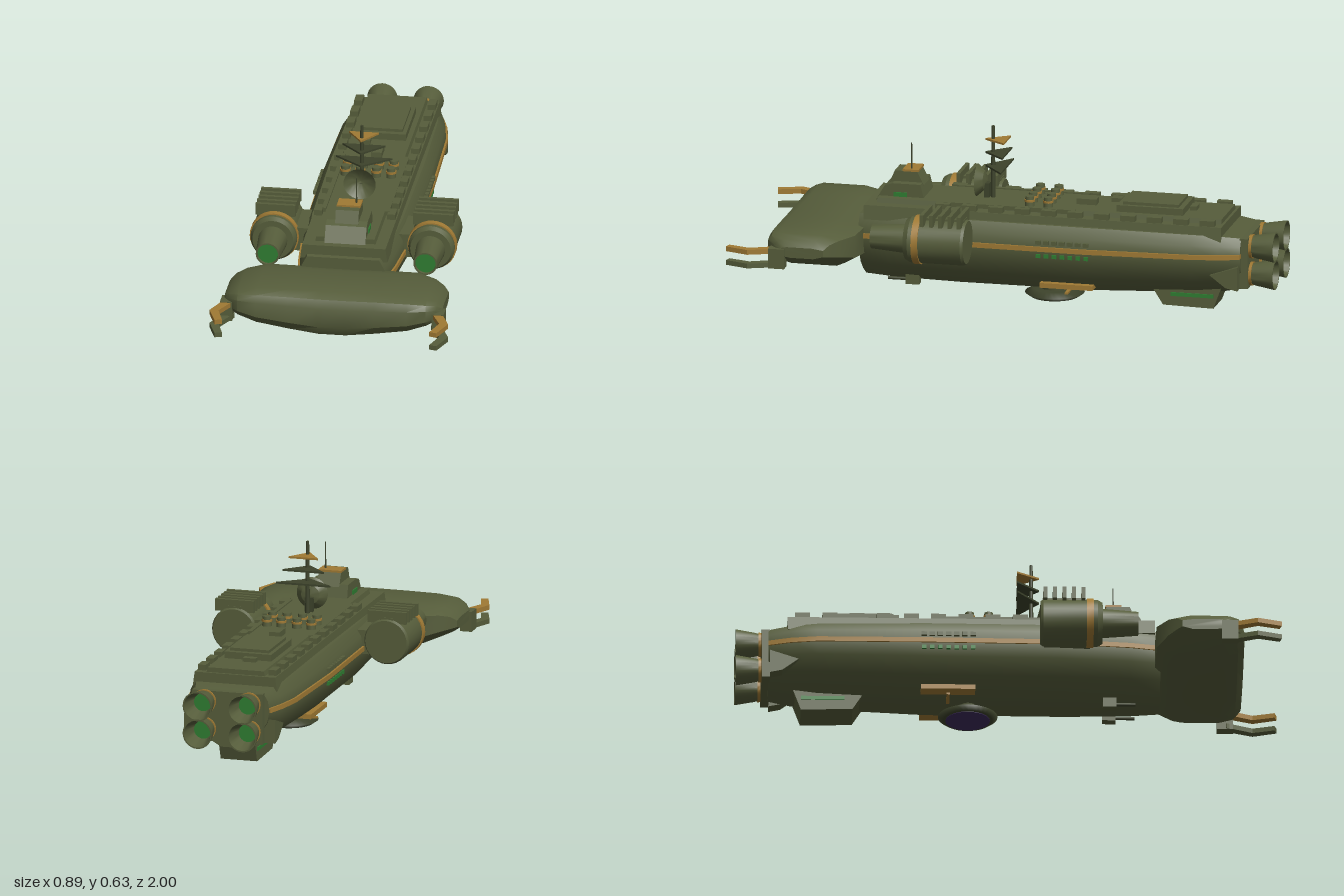
import * as THREE from 'three';
import { toCreasedNormals } from 'three/addons/utils/BufferGeometryUtils.js';

const color = (name, hex) => {
  const m = new THREE.MeshStandardMaterial({ color: hex });
  m.name = name;
  return m;
};

// Skin a closed surface over equal-length rings of [x, y, z] points
function loft(rings, crease = 0.6) {
  const n = rings[0].length, pos = rings.flat(2), idx = [];
  for (let r = 0; r < rings.length - 1; r++)
    for (let i = 0; i < n; i++) {
      const a = r * n + i, b = r * n + (i + 1) % n;
      idx.push(a, b, a + n, b, b + n, a + n);
    }
  for (let i = 1; i < n - 1; i++) {
    const e = (rings.length - 1) * n;
    idx.push(0, i + 1, i, e, e + i, e + i + 1);
  }
  // Turn all faces outward when the enclosed volume is negative
  let vol = 0;
  const p = k => new THREE.Vector3().fromArray(pos, k * 3);
  for (let i = 0; i < idx.length; i += 3) vol += p(idx[i]).dot(p(idx[i + 1]).cross(p(idx[i + 2])));
  if (vol < 0) idx.reverse();
  const g = new THREE.BufferGeometry();
  g.setAttribute('position', new THREE.Float32BufferAttribute(pos, 3));
  g.setIndex(idx);
  return toCreasedNormals(g, crease);
}

// Turned part; profile is [radius, distance along z]
function turned(profile, backward = false, seg = 28) {
  const g = new THREE.LatheGeometry(profile.map(q => new THREE.Vector2(...q)), seg);
  return toCreasedNormals(g.rotateX(backward ? -Math.PI / 2 : Math.PI / 2), 0.5);
}

const extrude = (pts, depth) => new THREE.ExtrudeGeometry(
  new THREE.Shape(pts.map(q => new THREE.Vector2(...q))), { depth, bevelEnabled: false });

// Side profile of [z, y] points, centred across x
const sideProfile = (pts, w) => extrude(pts, w).translate(0, 0, -w / 2).rotateY(-Math.PI / 2);
// Plan outline of [x, z] points, y is the middle height
const plate = (pts, h, y) => extrude(pts, h).rotateX(Math.PI / 2).translate(0, y + h / 2, 0);

export function createModel() {
  const model = new THREE.Group();
  const olive = color('olive hull', 0x565d3b);
  const dark = color('dark olive', 0x3d432b);
  const gold = color('ochre trim', 0xa07a34);
  const green = color('green glow', 0x2f7d32);
  const purple = color('purple lens', 0x3d2b5c);

  const add = (name, geo, mat, x = 0, y = 0, z = 0) => {
    const m = new THREE.Mesh(geo, mat);
    m.name = name;
    m.position.set(x, y, z);
    model.add(m);
    return m;
  };
  const box = (name, mat, w, h, d, x, y, z) => add(name, new THREE.BoxGeometry(w, h, d), mat, x, y, z);
  const cyl = (name, mat, r0, r1, h, x, y, z) => add(name, new THREE.CylinderGeometry(r1, r0, h, 20), mat, x, y, z);

  // Hull: stations of [z, half width, bottom, top]
  const stations = [[0.56, 0.16, 0.05, 0.305], [0.45, 0.178, 0.043, 0.312], [0.2, 0.2, 0.04, 0.315],
    [-0.3, 0.206, 0.042, 0.315], [-0.7, 0.197, 0.06, 0.312], [-0.8, 0.18, 0.07, 0.308], [-0.88, 0.155, 0.085, 0.3]];
  const half = [[0.2, 0], [0.5, 0.12], [0.76, 0.27], [0.94, 0.48], [1, 0.68], [0.96, 0.86], [0.84, 1]];
  const loop = [...half, ...half.map(([x, y]) => [-x, y]).reverse()];
  add('hull', loft(stations.map(([z, w, b, t]) => loop.map(([x, y]) => [x * w, b + y * (t - b), z]))), olive);
  box('sternPlate', olive, 0.27, 0.19, 0.03, 0, 0.205, -0.89);

  // Hammerhead bow: stations of [x, z back, z front, bottom, top]
  const wing = [[0.405, 0.635, 0.8, 0.195, 0.235], [0.385, 0.615, 0.825, 0.182, 0.258], [0.35, 0.585, 0.855, 0.167, 0.272],
    [0.28, 0.543, 0.865, 0.14, 0.28], [0.16, 0.54, 0.865, 0.118, 0.282], [0.05, 0.54, 0.865, 0.102, 0.282]];
  const full = [...wing, ...wing.map(([x, ...r]) => [-x, ...r]).reverse()];
  add('hammerheadBow', loft(full.map(([x, a, b, lo, hi]) => {
    const h = hi - lo, d = b - a;
    return [[0, 0.25], [0.22, 0], [0.75, 0], [0.93, 0.12], [1, 0.32], [1, 0.72], [0.95, 0.9], [0.84, 1], [0.25, 1], [0, 0.85]]
      .map(([u, v]) => [x, lo + v * h, a + u * d]);
  })), olive);

  // Deck tiers
  const tier = (x0, x1, y0, y1, z0, z1) => loft([[x0, y0], [x1, y1]].map(([x, y]) =>
    [[-x, y, z0], [x, y, z0], [x, y, z1], [-x, y, z1]]));
  add('lowerDeck', tier(0.162, 0.155, 0.29, 0.343, -0.81, 0.54), olive);
  add('upperDeck', tier(0.113, 0.108, 0.34, 0.361, -0.8, 0.5), olive);
  box('cargoHatch', olive, 0.18, 0.03, 0.25, 0, 0.371, -0.525);
  box('hatchLid', olive, 0.15, 0.012, 0.21, 0, 0.391, -0.525);
  box('deckLocker', olive, 0.04, 0.025, 0.075, 0.005, 0.37, -0.27);
  box('deckVent', olive, 0.04, 0.018, 0.04, -0.055, 0.367, -0.37);
  box('aftVent', olive, 0.05, 0.018, 0.025, -0.015, 0.367, -0.67);

  // Bridge tower
  add('bridgeTower', sideProfile([[0.55, 0.28], [0.48, 0.4], [0.45, 0.41], [0.345, 0.41], [0.325, 0.33]], 0.152), olive);
  add('bridgeTop', sideProfile([[0.47, 0.4], [0.45, 0.45], [0.365, 0.45], [0.34, 0.4]], 0.086), olive);
  box('bridgeRoof', gold, 0.088, 0.008, 0.06, 0, 0.453, 0.39);
  cyl('bridgeAntenna', dark, 0.003, 0.002, 0.1, 0.025, 0.505, 0.39);

  // Mast with triangular platforms
  cyl('mast', dark, 0.009, 0.006, 0.275, 0, 0.495, 0.088);
  [[0.105, 0.48, dark], [0.08, 0.53, dark], [0.056, 0.58, gold]].forEach(([w, y, m]) =>
    add('mastPlatform', plate([[-w, 0.035], [w, 0.035], [0, 0.118]], 0.007, y), m));
  add('radarDish', turned([[0, -0.025], [0.035, -0.015], [0.06, 0.012], [0.033, -0.008], [0, -0.018]]), olive, 0, 0.422, 0.135);
  box('dishStand', dark, 0.03, 0.06, 0.02, 0, 0.385, 0.11);

  // Deck tanks
  for (const z of [-0.07, -0.14]) for (const x of [-0.085, -0.03, 0.03, 0.085]) {
    cyl('deckTank', olive, 0.018, 0.016, 0.04, x, 0.378, z);
    cyl('tankBand', gold, 0.0195, 0.0195, 0.008, x, 0.382, z);
  }

  // Underside: sensor disc, keel fin
  add('sensorDisc', new THREE.LatheGeometry([[0, 0.002], [0.09, 0.002], [0.11, 0.016], [0.08, 0.032], [0, 0.034]]
    .map(q => new THREE.Vector2(...q)), 32), dark, 0, 0, -0.145);
  cyl('sensorLens', purple, 0.082, 0.082, 0.006, 0, 0.003, -0.145);
  cyl('discStem', olive, 0.05, 0.06, 0.04, 0, 0.045, -0.145);
  add('keelFin', sideProfile([[-0.53, 0.075], [-0.57, 0.012], [-0.76, 0.008], [-0.79, 0.09]], 0.14), olive);

  for (const s of [-1, 1]) {
    // Gold waistline following the hull
    add('waistStripe', loft(stations.map(([z, w, b, t]) => {
      const y = b + 0.68 * (t - b) + 0.004;
      return [[w - 0.02, y - 0.009], [w + 0.005, y - 0.009], [w + 0.005, y + 0.009], [w - 0.02, y + 0.009]]
        .map(([x, v]) => [s * x, v, z]);
    })), gold);

    // Raised blocks along the deck edge
    for (let i = 0; i < 11; i++) box('deckBlock', olive, 0.03, 0.022, 0.055, s * 0.136, 0.353, -0.755 + i * 0.1);
    box('deckRail', olive, 0.016, 0.016, 0.5, s * 0.117, 0.357, 0.0);
    box('towerLamp', green, 0.006, 0.035, 0.05, s * 0.077, 0.36, 0.42);

    // Lit ports and frames amidships
    for (let i = 0; i < 7; i++) {
      const z = -0.13 - i * 0.03;
      box('port', green, 0.018, 0.014, 0.016, s * 0.199, 0.205, z);
      box('portFrame', olive, 0.024, 0.014, 0.02, s * 0.2, 0.257, z);
    }

    // Side engine pods
    const x = s * 0.293, y = 0.265;
    add('enginePod', turned([[0, 0.115], [0.08, 0.115], [0.086, 0.125], [0.086, 0.325], [0.076, 0.343], [0.054, 0.343],
      [0.044, 0.475], [0.039, 0.475], [0.037, 0.455], [0, 0.455]]), olive, x, y, 0);
    add('podBand', turned([[0.08, 0.285], [0.091, 0.285], [0.091, 0.31], [0.08, 0.31]]), gold, x, y, 0);
    add('podGlow', new THREE.CircleGeometry(0.038, 24), green, x, y, 0.466);
    box('podPylon', olive, 0.09, 0.09, 0.17, s * 0.205, y - 0.01, 0.215);
    for (let i = 0; i < 5; i++) box('coolingFin', olive, 0.148, 0.045, 0.014, x, 0.356, 0.132 + i * 0.035);
    box('finSpine', olive, 0.05, 0.02, 0.155, x, 0.345, 0.2);

    // Bow prongs and mounts
    const chevron = [[0.365, 0.815], [0.4, 0.805], [0.443, 0.912], [0.412, 1], [0.385, 0.992], [0.41, 0.912]].map(([a, b]) => [s * a, b]);
    add('upperProng', plate(chevron, 0.018, 0.216), gold);
    add('lowerProng', plate(chevron, 0.018, 0.164), olive);
    box('prongMount', olive, 0.045, 0.075, 0.06, s * 0.393, 0.19, 0.81);

    // Stern nozzles
    for (const ny of [0.157, 0.261]) {
      const nx = s * 0.086;
      add('nozzle', turned([[0.036, 0.87], [0.038, 0.905], [0.044, 0.93], [0.056, 1], [0.051, 1], [0.034, 0.925], [0, 0.925]], true), olive, nx, ny, 0);
      add('nozzleBand', turned([[0.034, 0.902], [0.043, 0.902], [0.045, 0.916], [0.034, 0.916]], true), gold, nx, ny, 0);
      add('nozzleGlow', new THREE.CircleGeometry(0.034, 24).rotateY(Math.PI), green, nx, ny, -0.929);
    }
    add('sternFairing', sideProfile([[-0.77, 0.165], [-0.875, 0.2], [-0.875, 0.11], [-0.83, 0.12]], 0.05), olive, s * 0.15);

    // Underside plates, rods and turrets
    box('bellyPlate', gold, 0.08, 0.018, 0.2, s * 0.1, 0.075, -0.22);
    box('bellyRod', gold, 0.1, 0.007, 0.012, s * 0.085, 0.049, -0.22);
    box('bellyTurret', olive, 0.035, 0.045, 0.05, s * 0.06, 0.052, 0.375);
    const gun = cyl('turretGun', dark, 0.006, 0.006, 0.08, s * 0.06, 0.045, 0.43);
    gun.rotation.x = Math.PI / 2;
    box('keelLamp', green, 0.008, 0.014, 0.16, s * 0.07, 0.055, -0.68);
  }
  return model;
}
